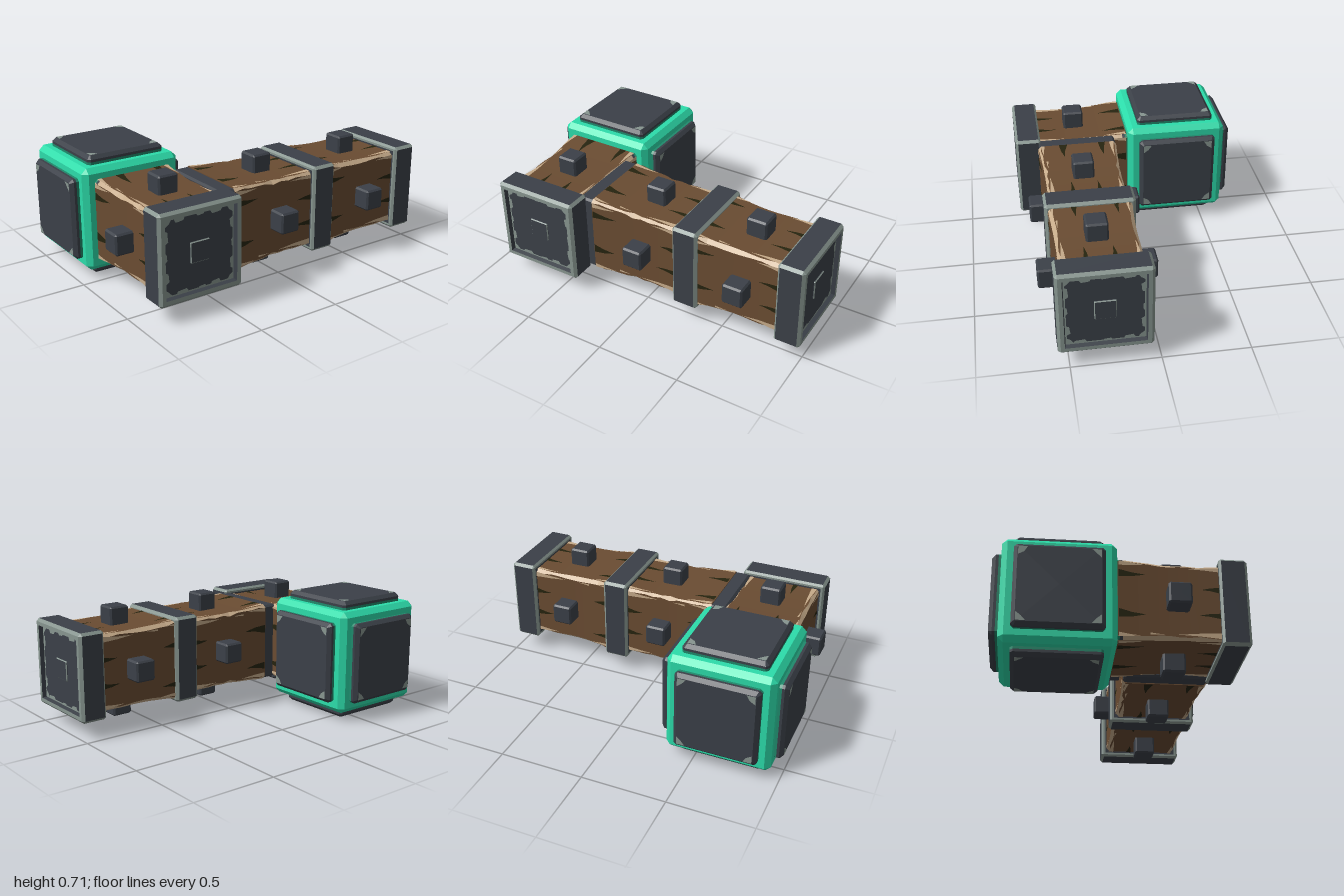
import * as THREE from 'three';

const mat = (name, color) => {
  const m = new THREE.MeshStandardMaterial({ color });
  m.name = name;
  return m;
};

export function createModel() {
  const iron = mat('dark iron', 0x3b4048);
  const steel = mat('worn steel', 0x87958f);
  const green = mat('green enamel', 0x2cdcaa);
  const shade = mat('deep green', 0x1f8a6c);
  const wood = mat('brown wood', 0x6a4c32);
  const tan = mat('bare wood', 0xc6ab8a);
  const olive = mat('crack shadow', 0x26240f);

  let seed = 7;
  const rand = () => (seed = (seed * 16807) % 2147483647) / 2147483647;

  // Flat-shaded mesh from loose triangles, grouped by material
  function facets(name, buckets) {
    const pos = [], mats = [...buckets.keys()];
    const geo = new THREE.BufferGeometry();
    mats.forEach((m, i) => {
      const pts = buckets.get(m);
      geo.addGroup(pos.length / 3, pts.length, i);
      for (const p of pts) pos.push(p[0], p[1], p[2]);
    });
    geo.setAttribute('position', new THREE.Float32BufferAttribute(pos, 3));
    geo.computeVertexNormals();
    const mesh = new THREE.Mesh(geo, mats);
    mesh.name = name;
    return mesh;
  }

  // Square ring with half size h, corner cut c, at height z
  const ring = ([h, c, z]) => {
    const k = h - c;
    return [[h, -k], [h, k], [k, h], [-k, h], [-h, k], [-h, -k], [-k, -h], [k, -h]].map(p => [...p, z]);
  };

  // Joins rings along z; each row is [h, c, z, sideMaterial, cornerMaterial]
  function loft(name, rows) {
    const buckets = new Map();
    for (let i = 1; i < rows.length; i++) {
      const a = ring(rows[i - 1]), b = ring(rows[i]);
      for (let j = 0; j < 8; j++) {
        const n = (j + 1) % 8;
        const m = j % 2 ? rows[i][4] || rows[i][3] : rows[i][3];
        if (!buckets.has(m)) buckets.set(m, []);
        buckets.get(m).push(a[j], a[n], b[n], a[j], b[n], b[j]);
      }
    }
    return facets(name, buckets);
  }

  // Box with chamfered edges from z0 to z1
  const chamferBox = (name, h, z0, z1, c, face, edge) => loft(name, [
    [0, 0, z0], [h - c, 0, z0, face], [h, c, z0 + c, edge], [h, c, z1 - c, face, edge],
    [h - c, 0, z1, edge], [0, 0, z1, face],
  ]);

  // Worn corners of a square panel, plus optional strips [from, to, width] along its edges
  function panelWear(half, size, z, strips = []) {
    const pts = [];
    for (let k = 0; k < 4; k++) {
      const c = Math.cos(k * Math.PI / 2), s = Math.sin(k * Math.PI / 2);
      const at = (x, y) => [c * x - s * y, s * x + c * y, z];
      const cut = half - size, mid = half - size * (0.5 + 0.15 * rand());
      pts.push(at(half, half), at(cut, half), at(mid, mid), at(half, half), at(mid, mid), at(half, cut));
      for (const [from, to, w] of strips) {
        const shift = (rand() - 0.5) * 0.04;
        const a = at(half, from + shift), b = at(half, to + shift);
        const d = at(half - w, to + shift - 0.015), e = at(half - w * 0.8, from + shift + 0.01);
        pts.push(a, b, d, a, d, e);
      }
    }
    return facets('panelWear', new Map([[steel, pts]]));
  }

  const LEN = 0.545, CAP = 0.155, BOLT = 0.32;
  const beamHalf = z => {
    const t = z / LEN;
    return 0.243 - 0.017 * t - 0.008 * Math.sin(Math.PI * t);
  };

  // Cracks and bare patches lying on the four beam faces
  function beamMarks() {
    const buckets = new Map([[olive, []], [tan, []]]);
    const wedge = (m, k, l, w, z0, z1) => {
      const c = Math.cos(k * Math.PI / 2), s = Math.sin(k * Math.PI / 2);
      const flip = z1 < z0 ? -1 : 1;
      const at = (y, z) => {
        const h = beamHalf(z) + 0.003;
        return [c * h - s * y, s * h + c * y, z];
      };
      const zm = z0 + (z1 - z0) * 0.5;
      const a = at(l - w * flip, z0), b = at(l + w * flip, z0);
      const d = at(l + w * 0.7 * flip, zm), e = at(l - w * 0.3 * flip, zm), tip = at(l, z1);
      buckets.get(m).push(a, b, d, a, d, e, e, d, tip);
    };
    for (let k = 0; k < 4; k++) {
      wedge(olive, k, -0.15, 0.022, 0.005, 0.14 + rand() * 0.03);
      wedge(olive, k, 0.09, 0.026, 0.005, 0.13 + rand() * 0.03);
      wedge(olive, k, -0.075, 0.017, LEN, 0.42 + rand() * 0.03);
      wedge(olive, k, 0.08, 0.016, LEN, 0.41 + rand() * 0.04);
      wedge(tan, k, -0.212, 0.014, 0.005, 0.14 + rand() * 0.05);
      wedge(tan, k, 0.215, 0.012, 0.005, 0.1 + rand() * 0.05);
      wedge(tan, k, 0.198, 0.016, LEN, 0.3 + rand() * 0.06);
      wedge(tan, k, -0.2, 0.012, LEN, 0.36 + rand() * 0.06);
      wedge(tan, k, 0.2, 0.006, 0.17, 0.25);
    }
    return facets('beamMarks', buckets);
  }

  // Square metal cap with a raised rim around a sunken panel
  function endCap() {
    const g = new THREE.Group();
    g.name = 'endCap';
    const d = CAP, f = d - 0.025;
    g.add(loft('capBody', [
      [0, 0, 0], [0.236, 0, 0, iron], [0.248, 0, 0, steel], [0.26, 0.016, 0.012, steel],
      [0.26, 0.016, d - 0.016, iron, steel], [0.244, 0, d, steel], [0.222, 0, d, steel],
      [0.216, 0, f, iron], [0.208, 0, f, steel], [0, 0, f, iron],
    ]));
    const stud = chamferBox('capStud', 0.06, f - 0.02, f + 0.008, 0.005, iron, steel);
    const strips = [[-0.16, -0.08, 0.024], [-0.03, 0.03, 0.016], [0.08, 0.15, 0.026]];
    g.add(stud, panelWear(0.214, 0.045, f + 0.002, strips));
    g.position.z = LEN;
    return g;
  }

  // One beam length: timber, cross bolts and end cap, running along +z
  function segment(name) {
    const g = new THREE.Group();
    g.name = name;
    const rows = [[0, 0, 0]];
    for (let i = 0; i <= 10; i++) {
      const z = LEN * i / 10;
      rows.push([beamHalf(z), 0.008 + 0.014 * rand(), z, wood, i ? tan : wood]);
    }
    rows.push([0, 0, LEN, wood]);
    g.add(loft('timber', rows), beamMarks(), endCap());
    for (let k = 0; k < 2; k++) {
      const bolt = chamferBox('crossBolt', 0.062, -0.332, 0.332, 0.01, iron, iron);
      bolt.position.z = BOLT;
      if (k) bolt.rotation.y = Math.PI / 2;
      else bolt.rotation.x = Math.PI / 2;
      g.add(bolt);
    }
    return g;
  }

  const model = new THREE.Group();
  model.name = 'cornerBeam';
  const Y = 0.355, ZA = 0.645, XB = 0.3;

  // Green corner block with a plate on each face
  const block = new THREE.Group();
  block.name = 'cornerBlock';
  block.position.set(-0.33, Y, ZA);
  block.add(chamferBox('blockBody', 0.305, -0.305, 0.305, 0.03, green, green));
  const q = Math.PI / 2;
  for (const [rx, ry] of [[0, 0], [0, q], [0, 2 * q], [0, -q], [q, 0], [-q, 0]]) {
    const plate = new THREE.Group();
    plate.name = 'facePlate';
    plate.add(loft('platePanel', [
      [0.24, 0.015, 0.3], [0.24, 0.015, 0.32, shade], [0.24, 0.015, 0.335, iron],
      [0.22, 0.005, 0.355, iron], [0, 0, 0.355, iron],
    ]));
    plate.add(panelWear(0.217, 0.05, 0.357));
    plate.rotation.set(rx, ry, 0);
    block.add(plate);
  }
  model.add(block);

  // Short arm to the side, then two lengths running back
  const side = segment('sideBeam');
  side.position.set(-0.02, Y, ZA);
  side.rotation.y = q;
  model.add(side);
  [0.34, -0.3].forEach((z, i) => {
    const back = segment(i ? 'rearBeam' : 'middleBeam');
    back.position.set(XB, Y, z);
    back.rotation.y = Math.PI;
    model.add(back);
  });

  // Collar joining the two directions
  const collar = chamferBox('jointCollar', 0.238, 0.325, 0.43, 0.012, iron, iron);
  collar.position.set(XB, Y, 0);
  model.add(collar);

  return model;
}
